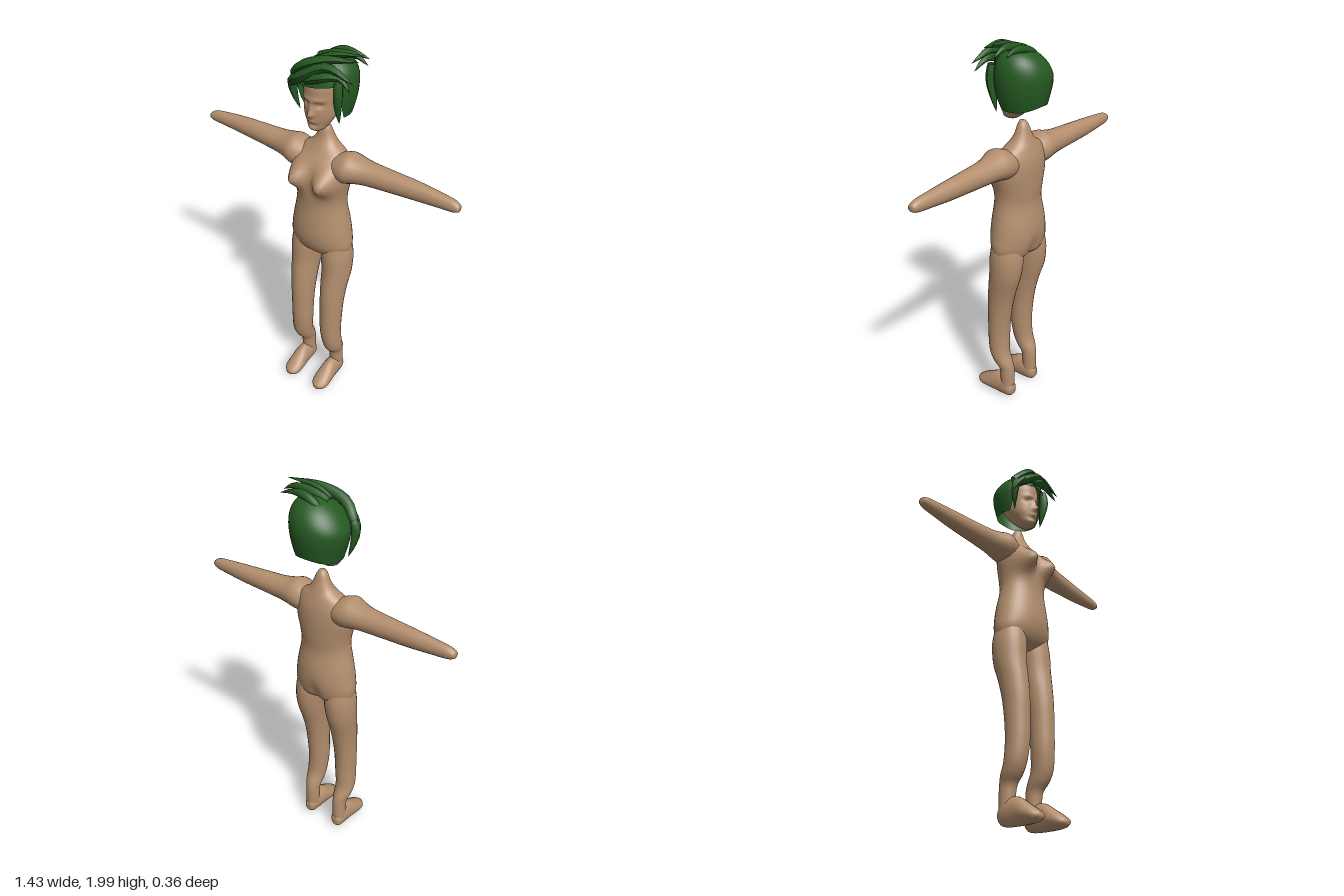
import * as THREE from 'three';

const skin = new THREE.MeshStandardMaterial({ color: 0xb48f6e });
skin.name = 'skin';
const hair = new THREE.MeshStandardMaterial({ color: 0x265a22, side: THREE.DoubleSide });
hair.name = 'hair green';

// Turns (distance along axis, two centre offsets, two radii) into a point for each axis.
const PLACE = {
  y: (s, a, b, ra, rb, t) => [a + ra * Math.cos(t), s, b + rb * Math.sin(t)],
  x: (s, a, b, ra, rb, t) => [s, a + ra * Math.sin(t), b + rb * Math.cos(t)],
  z: (s, a, b, ra, rb, t) => [a + ra * Math.sin(t), b + rb * Math.cos(t), s],
};

function catmull(a, b, c, d, t) {
  return b + 0.5 * t * (c - a + t * (2 * a - 5 * b + 4 * c - d + t * (3 * (b - c) + d - a)));
}

// Smooth closed loft through elliptical rings [along, centre, centre, radius, radius].
function loft(axis, rings, segs = 24, steps = 3, deform = null) {
  const last = rings.length - 1;
  const at = i => rings[Math.min(last, Math.max(0, i))];
  const rows = [];
  for (let i = 0; i < last; i++) {
    for (let k = 0; k < steps; k++) {
      rows.push(rings[i].map((_, n) => catmull(at(i - 1)[n], at(i)[n], at(i + 1)[n], at(i + 2)[n], k / steps)));
    }
  }
  rows.push(rings[last]);
  const pos = [], idx = [];
  for (const r of rows) {
    for (let j = 0; j < segs; j++) {
      const p = PLACE[axis](...r, (j / segs) * Math.PI * 2);
      if (deform) deform(p, r);
      pos.push(...p);
    }
  }
  for (let i = 0; i < rows.length - 1; i++) {
    for (let j = 0; j < segs; j++) {
      const a = i * segs + j, b = i * segs + (j + 1) % segs;
      idx.push(a, a + segs, b, b, a + segs, b + segs);
    }
  }
  // End caps
  const start = rows.length * segs, top = start - segs;
  for (const r of [rows[0], rows[rows.length - 1]]) pos.push(...PLACE[axis](r[0], r[1], r[2], 0, 0, 0));
  for (let j = 0; j < segs; j++) {
    const n = (j + 1) % segs;
    idx.push(start, j, n, start + 1, top + n, top + j);
  }
  return finish(pos, idx);
}

function finish(pos, idx) {
  const g = new THREE.BufferGeometry();
  g.setAttribute('position', new THREE.Float32BufferAttribute(pos, 3));
  g.setIndex(idx);
  g.computeVertexNormals();
  return g;
}

function mirrored(geo) {
  const pos = Array.from(geo.attributes.position.array, (v, i) => (i % 3 === 0 ? -v : v));
  return finish(pos, Array.from(geo.index.array).reverse());
}

const bump = (dx, dy, sx, sy) => Math.exp(-((dx / sx) ** 2) - (dy / sy) ** 2);

// Tapered lock of hair along a curve
function lock(points, radius) {
  const curve = new THREE.CatmullRomCurve3(points.map(p => new THREE.Vector3(...p)));
  const n = 10, sides = 6;
  const g = new THREE.TubeGeometry(curve, n, radius, sides);
  const p = g.attributes.position, v = new THREE.Vector3();
  for (let i = 0; i < p.count; i++) {
    const t = Math.floor(i / (sides + 1)) / n;
    const c = curve.getPointAt(t);
    v.fromBufferAttribute(p, i).sub(c).multiplyScalar(0.02 + 0.98 * Math.pow(Math.sin(Math.PI * Math.pow(0.12 + 0.88 * t, 0.7)), 0.8) || 0.02).add(c);
    p.setXYZ(i, v.x, v.y, v.z);
  }
  g.computeVertexNormals();
  return g;
}

// Hair cap: a skewed dome whose lower edge lifts over the face
function hairCap() {
  const cols = 40, rows = 14, pos = [], idx = [];
  for (let i = 0; i <= rows; i++) {
    for (let j = 0; j < cols; j++) {
      const a = (j / cols) * Math.PI * 2;
      const lift = THREE.MathUtils.smoothstep(Math.sin(a), 0.3, 0.72);
      const back = 0.02 * Math.max(0, -Math.sin(a)) ** 4;
      const y = THREE.MathUtils.lerp(1.955, 1.685 + back + 0.155 * lift, (i / rows) ** 1.6);
      const k = Math.min(1, (1.955 - y) / 0.13);
      const r = Math.sqrt(1 - (1 - k) ** 2) * (1 - 0.2 * Math.max(0, (1.82 - y) / 0.135) ** 1.5);
      const x = 0.008 + 0.142 * r * Math.cos(a);
      const tilt = 0.24 * x * THREE.MathUtils.smoothstep(y, 1.74, 1.92);
      pos.push(x, y + tilt, -0.047 + 0.136 * r * Math.sin(a));
    }
  }
  for (let i = 0; i < rows; i++) {
    for (let j = 0; j < cols; j++) {
      const a = i * cols + j, b = i * cols + (j + 1) % cols;
      idx.push(a, b, a + cols, b, b + cols, a + cols);
    }
  }
  return finish(pos, idx);
}

export function createModel() {
  const model = new THREE.Group();
  model.name = 'figure';
  const add = (name, geo, mat = skin, parent = model) => {
    const m = new THREE.Mesh(geo, mat);
    m.name = name;
    parent.add(m);
  };

  // Torso with neck stub
  add('torso', loft('y', [
    [0.89, 0, -0.015, 0.08, 0.04], [0.92, 0, -0.018, 0.15, 0.085], [0.97, 0, -0.015, 0.17, 0.108],
    [1.03, 0, -0.014, 0.165, 0.117], [1.1, 0, -0.014, 0.154, 0.114], [1.2, 0, -0.012, 0.134, 0.102],
    [1.27, 0, -0.015, 0.135, 0.104], [1.36, 0, -0.022, 0.152, 0.1], [1.43, 0, -0.025, 0.15, 0.093],
    [1.48, 0, -0.035, 0.118, 0.07], [1.515, 0, -0.04, 0.07, 0.053], [1.55, 0, -0.043, 0.045, 0.038],
    [1.59, 0, -0.042, 0.028, 0.026], [1.61, 0, -0.04, 0.014, 0.015],
  ], 40, 4, (p, r) => {
    const side = Math.abs(p[0]);
    if (p[2] > r[2]) p[2] += 0.085 * bump(side - 0.08, p[1] - 1.36, 0.055, 0.06) * Math.min(1, (p[2] - r[2]) / 0.05);
    else p[2] += 0.02 * bump(side, p[1] - 0.95, 0.03, 0.07);
  }));

  // Arms, legs and feet, mirrored for the right side
  const limbs = {
    Arm: loft('x', [
      [0.05, 1.42, -0.025, 0.05, 0.06], [0.11, 1.425, -0.022, 0.07, 0.08], [0.155, 1.432, -0.02, 0.076, 0.085],
      [0.2, 1.432, -0.025, 0.065, 0.074], [0.26, 1.43, -0.03, 0.058, 0.06], [0.38, 1.43, -0.034, 0.052, 0.049],
      [0.5, 1.43, -0.037, 0.046, 0.04], [0.62, 1.429, -0.036, 0.036, 0.031], [0.685, 1.427, -0.034, 0.029, 0.025],
      [0.713, 1.425, -0.032, 0.015, 0.017],
    ]),
    Leg: loft('y', [
      [0.06, 0.095, -0.02, 0.036, 0.037], [0.15, 0.095, -0.018, 0.037, 0.041], [0.2, 0.095, -0.012, 0.038, 0.045],
      [0.24, 0.098, 0.008, 0.047, 0.055], [0.3, 0.099, 0.032, 0.053, 0.056], [0.4, 0.093, 0.04, 0.057, 0.06],
      [0.5, 0.093, 0.037, 0.059, 0.063], [0.6, 0.093, 0.03, 0.062, 0.07], [0.7, 0.094, 0.014, 0.068, 0.078],
      [0.8, 0.096, -0.008, 0.076, 0.087], [0.9, 0.092, -0.015, 0.081, 0.09], [0.98, 0.085, -0.015, 0.075, 0.08],
    ]),
    Foot: loft('z', [
      [-0.062, 0.095, 0.065, 0.018, 0.025], [-0.045, 0.095, 0.065, 0.033, 0.045], [-0.01, 0.095, 0.075, 0.039, 0.064],
      [0.05, 0.095, 0.074, 0.042, 0.066], [0.1, 0.095, 0.06, 0.047, 0.05], [0.15, 0.095, 0.046, 0.044, 0.031],
      [0.18, 0.095, 0.042, 0.02, 0.013],
    ], 20),
  };
  for (const [name, geo] of Object.entries(limbs)) {
    add('left' + name, geo);
    add('right' + name, mirrored(geo));
  }

  // Head with modelled brow, eye sockets, nose, lips and chin
  add('head', loft('y', [
    [1.614, 0, 0.025, 0.026, 0.03], [1.625, 0, 0.022, 0.042, 0.043], [1.65, 0, 0.008, 0.058, 0.06],
    [1.69, 0, -0.008, 0.076, 0.082], [1.74, 0, -0.024, 0.084, 0.1], [1.79, 0, -0.032, 0.088, 0.109],
    [1.84, 0, -0.036, 0.09, 0.111], [1.89, 0, -0.04, 0.078, 0.095], [1.93, 0, -0.04, 0.045, 0.05],
  ], 64, 6, p => {
    if (p[2] < 0.01) return;
    const side = Math.abs(p[0]), y = p[1];
    p[2] += 0.022 * bump(side, y - 1.703, 0.014, 0.014) + 0.013 * bump(side, y - 1.73, 0.011, 0.028)
      + 0.007 * bump(side - 0.03, y - 1.775, 0.035, 0.01) - 0.014 * bump(side - 0.036, y - 1.75, 0.02, 0.013)
      + 0.008 * bump(side, y - 1.668, 0.022, 0.009) - 0.004 * bump(side, y - 1.648, 0.025, 0.007)
      + 0.006 * bump(side, y - 1.628, 0.02, 0.012);
  }));

  // Hair cap and swept locks
  const hairGroup = new THREE.Group();
  hairGroup.name = 'hair';
  model.add(hairGroup);
  add('hairCap', hairCap(), hair, hairGroup);
  const locks = [
    [[[-0.125, 1.85, 0.03], [-0.05, 1.92, 0.06], [0.06, 1.965, 0.04], [0.2, 1.98, 0.01]], 0.026],
    [[[-0.125, 1.82, 0.05], [-0.03, 1.89, 0.078], [0.08, 1.945, 0.065], [0.215, 1.905, 0.07]], 0.028],
    [[[-0.03, 1.86, 0.075], [0.06, 1.9, 0.08], [0.14, 1.91, 0.06], [0.2, 1.865, 0.07]], 0.024],
    [[[-0.03, 1.94, -0.03], [0.08, 1.97, -0.04], [0.15, 1.975, -0.05], [0.21, 1.945, -0.05]], 0.022],
    [[[-0.02, 1.93, -0.09], [0.06, 1.965, -0.09], [0.13, 1.965, -0.09], [0.185, 1.95, -0.1]], 0.02],
    [[[-0.02, 1.94, 0], [0.06, 1.975, 0], [0.13, 1.988, -0.01], [0.2, 1.995, -0.03]], 0.014],
    [[[-0.08, 1.88, 0.04], [-0.12, 1.82, 0.045], [-0.118, 1.75, 0.035], [-0.1, 1.68, 0.02]], 0.022],
    [[[0.12, 1.89, 0.04], [0.122, 1.81, 0.045], [0.118, 1.74, 0.035], [0.115, 1.67, 0.02]], 0.024],
    [[[-0.04, 1.88, 0.075], [-0.085, 1.86, 0.07], [-0.12, 1.82, 0.06], [-0.14, 1.77, 0.045]], 0.02],
  ];
  locks.forEach(([points, radius], i) => add('hairLock' + (i + 1), lock(points, radius), hair, hairGroup));

  return model;
}
